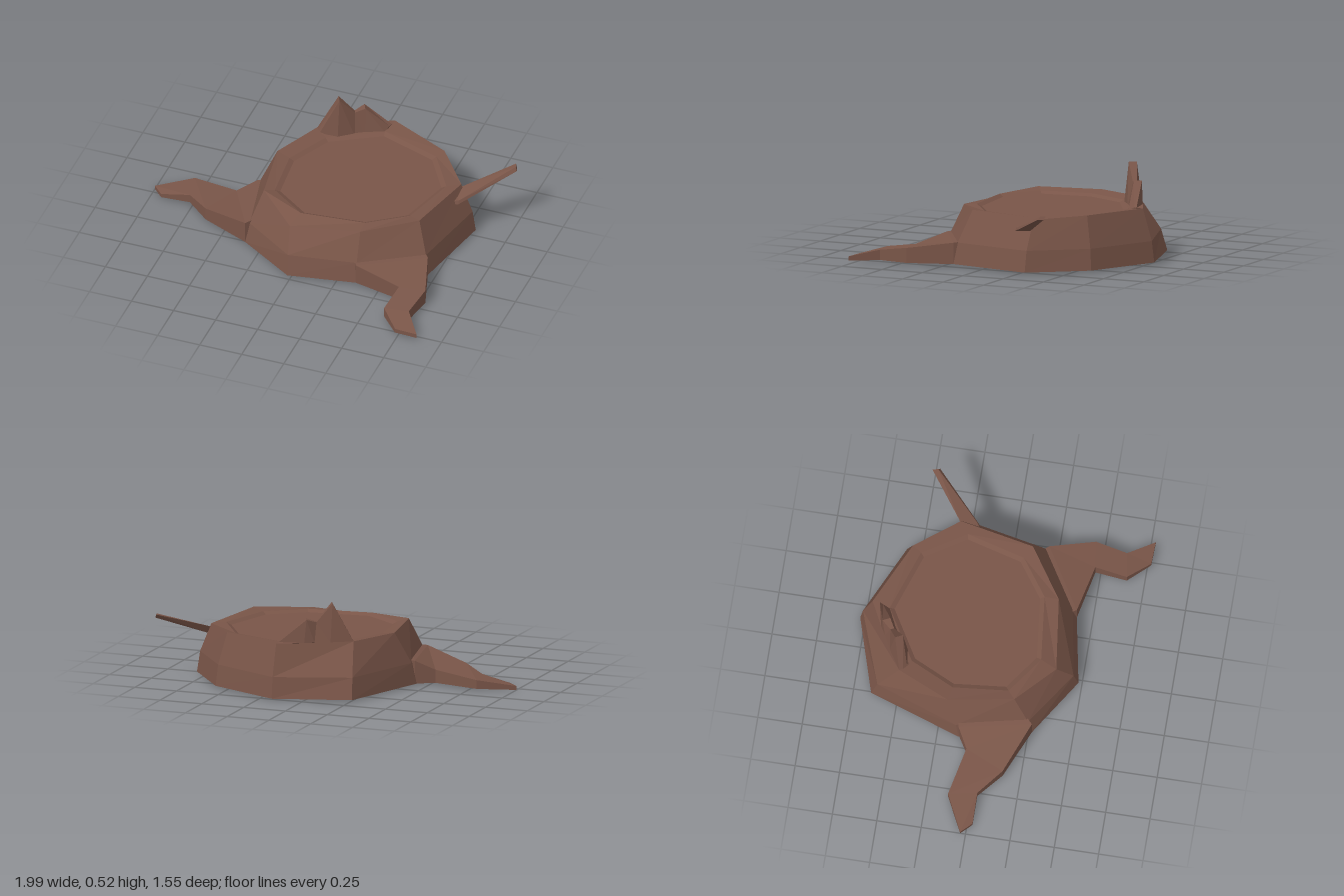
import * as THREE from 'three';

const bark = new THREE.MeshStandardMaterial({ color: 0x795548, flatShading: true });

// Skin a list of equal-length loops of [x, y, z] and close both ends.
function loft(name, loops) {
  const pos = [];
  const tri = (...p) => p.forEach((v) => pos.push(...v));
  const n = loops[0].length;
  const centre = (loop) => [0, 1, 2].map((k) => loop.reduce((s, p) => s + p[k], 0) / n);
  const first = loops[0], last = loops[loops.length - 1];
  const c0 = centre(first), c1 = centre(last);
  for (let j = 0; j < n; j++) {
    const k = (j + 1) % n;
    for (let i = 0; i < loops.length - 1; i++) {
      const a = loops[i], b = loops[i + 1];
      tri(a[j], b[j], a[k]);
      tri(a[k], b[j], b[k]);
    }
    tri(c0, first[j], first[k]);
    tri(c1, last[k], last[j]);
  }
  const geo = new THREE.BufferGeometry();
  geo.setAttribute('position', new THREE.Float32BufferAttribute(pos, 3));
  geo.computeVertexNormals();
  const mesh = new THREE.Mesh(geo, bark);
  mesh.name = name;
  return mesh;
}

// Root from sections [xA, zA, xB, zB, top height, bottom height].
function root(name, sections) {
  return loft(name, sections.map(([xa, za, xb, zb, h, y = 0.01]) =>
    [[xa, y, za], [xa, h, za], [xb, h, zb], [xb, y, zb]]));
}

export function createModel() {
  const group = new THREE.Group();
  group.name = 'treeStump';

  // Trunk: foot outline, slight bulge, uneven rim and sunken cut face
  const foot = [[0.17, -0.78], [0.58, -0.59], [0.81, -0.29], [0.71, 0.2], [0.36, 0.41],
    [-0.02, 0.48], [-0.35, 0.27], [-0.44, -0.13], [-0.26, -0.65]];
  const rim = [[0.17, 0.31, -0.71], [0.53, 0.31, -0.54], [0.72, 0.295, -0.3], [0.63, 0.31, 0.12],
    [0.35, 0.29, 0.31], [-0.05, 0.26, 0.36], [-0.28, 0.31, 0.16], [-0.34, 0.31, -0.21], [-0.21, 0.31, -0.5]];
  const inner = [[0.15, -0.61], [0.5, -0.49], [0.65, -0.25], [0.56, 0.08], [0.35, 0.23],
    [-0.02, 0.27], [-0.23, 0.12], [-0.26, -0.19], [-0.14, -0.44]];
  const mid = foot.map(([x, z], i) =>
    [x + (rim[i][0] - x) * 0.22, 0.13, z + (rim[i][2] - z) * 0.22]);
  group.add(loft('trunk', [
    foot.map(([x, z]) => [x, 0.01, z]),
    mid,
    rim,
    inner.map(([x, z]) => [x, 0.297, z]),
    inner.map(([x, z]) => [0.19 + (x - 0.19) * 0.94, 0.283, -0.17 + (z + 0.17) * 0.94]),
  ]));

  // Roots creeping over the ground
  group.add(root('frontRoot', [
    [0.3, 0.3, 0.64, 0.12, 0.14],
    [0.36, 0.41, 0.71, 0.2, 0.13],
    [0.64, 0.47, 0.79, 0.45, 0.095],
    [0.62, 0.65, 0.76, 0.63, 0.068],
    [0.73, 0.77, 0.86, 0.775, 0.035],
  ]));
  group.add(root('rightRoot', [
    [-0.3, -0.15, -0.28, 0.2, 0.16],
    [-0.43, -0.13, -0.35, 0.27, 0.14],
    [-0.53, -0.07, -0.63, 0.15, 0.085],
    [-0.8, -0.13, -0.77, 0.03, 0.06],
    [-1, -0.03, -0.94, 0.03, 0.022, 0],
  ]));

  // Thin broken branch on the left side
  group.add(loft('branch', [
    [[0.69, 0.23, -0.17], [0.69, 0.25, -0.18], [0.69, 0.27, -0.29], [0.69, 0.22, -0.28]],
    [[0.74, 0.23, -0.2], [0.74, 0.25, -0.21], [0.73, 0.28, -0.31], [0.74, 0.235, -0.29]],
    [[0.99, 0.345, -0.46], [0.98, 0.365, -0.47], [0.97, 0.365, -0.5], [0.98, 0.345, -0.49]],
  ]));

  // Two-peaked splinter standing on the back of the rim
  group.add(loft('splinter', [
    [[-0.14, 0.29, -0.44], [-0.18, 0.31, -0.46], [-0.2, 0.31, -0.48], [-0.21, 0.31, -0.5]],
    [[-0.08, 0.28, -0.47], [-0.08, 0.525, -0.5], [-0.1, 0.525, -0.54], [-0.1, 0.31, -0.57]],
    [[0, 0.28, -0.53], [-0.01, 0.42, -0.56], [-0.02, 0.42, -0.58], [-0.02, 0.31, -0.61]],
    [[0.05, 0.28, -0.56], [0.04, 0.44, -0.59], [0.02, 0.44, -0.63], [0.03, 0.31, -0.64]],
    [[0.15, 0.29, -0.61], [0.16, 0.31, -0.65], [0.17, 0.31, -0.67], [0.17, 0.31, -0.71]],
  ]));

  return group;
}
